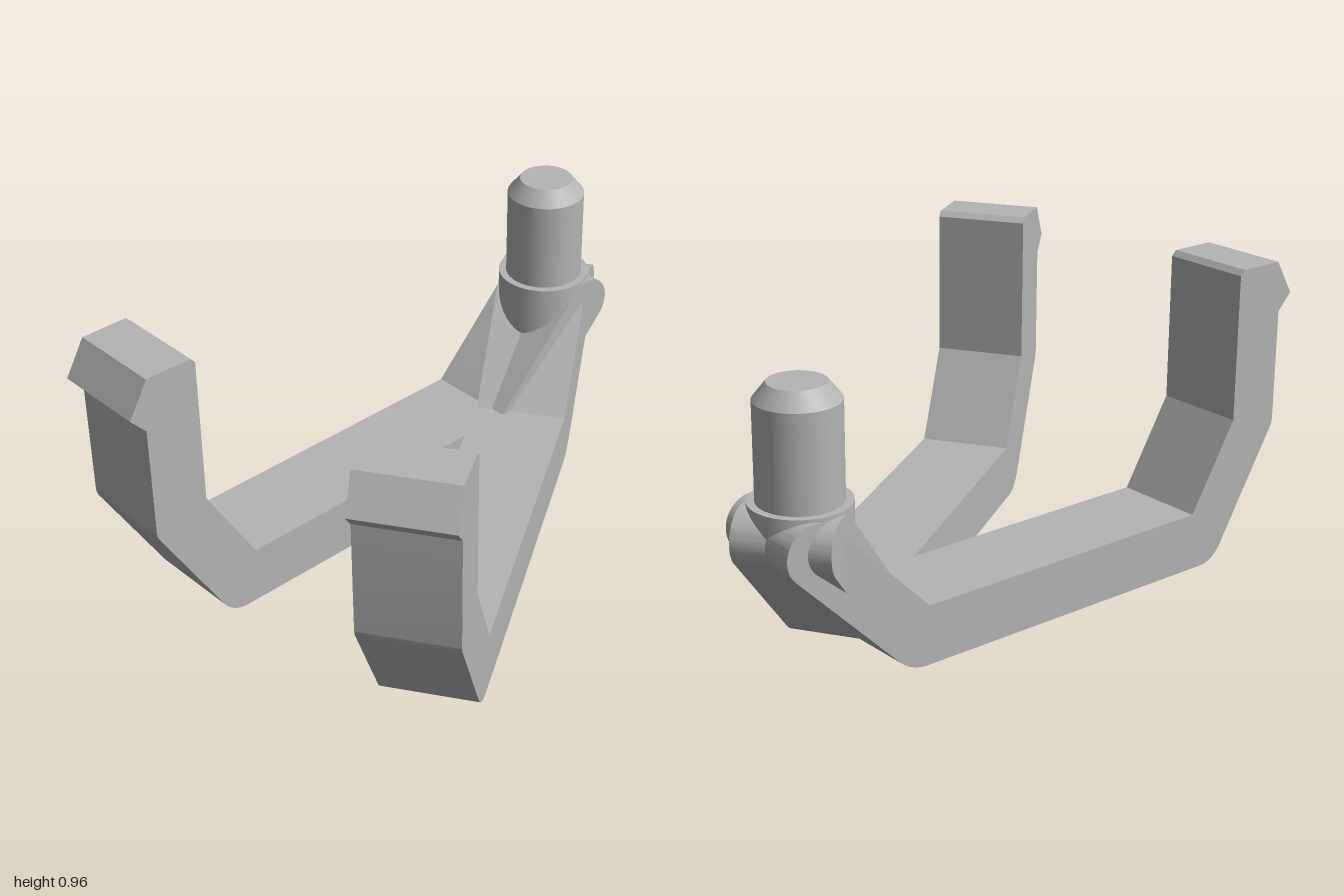
import * as THREE from 'three';
import { toCreasedNormals } from 'three/addons/utils/BufferGeometryUtils.js';

const WIDTH = 0.3;
const PIVOT = [-0.14, 0, -0.81];

// Side profile of one arm: x runs outward from the pivot, y is up, s is the reach of the upright
function armProfile(s) {
  const p = new THREE.Shape();
  p.moveTo(0.33, 0);
  // Underside and rounded heel of the hook
  p.lineTo(s - 0.31, 0);
  p.quadraticCurveTo(s - 0.247, 0, s - 0.215, 0.055);
  p.lineTo(s - 0.01, 0.405);
  p.quadraticCurveTo(s, 0.42, s, 0.44);
  // Beaked tip
  p.lineTo(s, 0.795);
  p.lineTo(s + 0.05, 0.85);
  p.lineTo(s - 0.015, 0.96);
  p.lineTo(s - 0.165, 0.96);
  p.lineTo(s - 0.182, 0.943);
  // Inner face and top of the bar
  p.lineTo(s - 0.182, 0.47);
  p.lineTo(s - 0.348, 0.188);
  p.lineTo(0.335, 0.188);
  // Sloped neck with a round end
  p.lineTo(0.004, 0.519);
  p.absarc(-0.06, 0.455, 0.09, Math.PI / 4, Math.PI * 1.25, false);
  p.lineTo(0.222, 0.045);
  p.quadraticCurveTo(0.267, 0, 0.33, 0);
  return p;
}

function makeArm(name, reach, angle, material) {
  const geo = new THREE.ExtrudeGeometry(armProfile(reach), {
    depth: WIDTH, bevelEnabled: false, curveSegments: 16,
  });
  geo.translate(0, 0, -WIDTH / 2);
  const mesh = new THREE.Mesh(toCreasedNormals(geo, 0.45), material);
  mesh.name = name;
  mesh.position.set(...PIVOT);
  // Angle is measured from the front, positive towards +x
  mesh.rotation.y = THREE.MathUtils.degToRad(angle - 90);
  return mesh;
}

function turned(name, points, material, bend) {
  const geo = new THREE.LatheGeometry(points.map(([r, y]) => new THREE.Vector2(r, y)), 48);
  if (bend) bend(geo.attributes.position);
  const mesh = new THREE.Mesh(toCreasedNormals(geo, 0.4), material);
  mesh.name = name;
  mesh.position.set(...PIVOT);
  return mesh;
}

export function createModel() {
  const grey = new THREE.MeshStandardMaterial({ color: 0xb4b4b4 });
  grey.name = 'plain grey';

  const model = new THREE.Group();
  model.name = 'twoArmBracket';

  model.add(makeArm('rightArm', 1.743, -12.1, grey));
  model.add(makeArm('leftArm', 1.818, 20.6, grey));

  // Collar whose slanted foot stays inside the sloped necks
  model.add(turned('collar', [[0, 0.4], [0.15, 0.4], [0.15, 0.555], [0, 0.555]], grey, (pos) => {
    for (let i = 0; i < pos.count; i++) {
      if (pos.getY(i) < 0.45) pos.setY(i, 0.405 - 0.3 * pos.getZ(i));
    }
  }));

  // Chamfered post
  model.add(turned('post', [[0, 0.5], [0.126, 0.5], [0.126, 0.85], [0.086, 0.9], [0, 0.9]], grey));

  return model;
}
